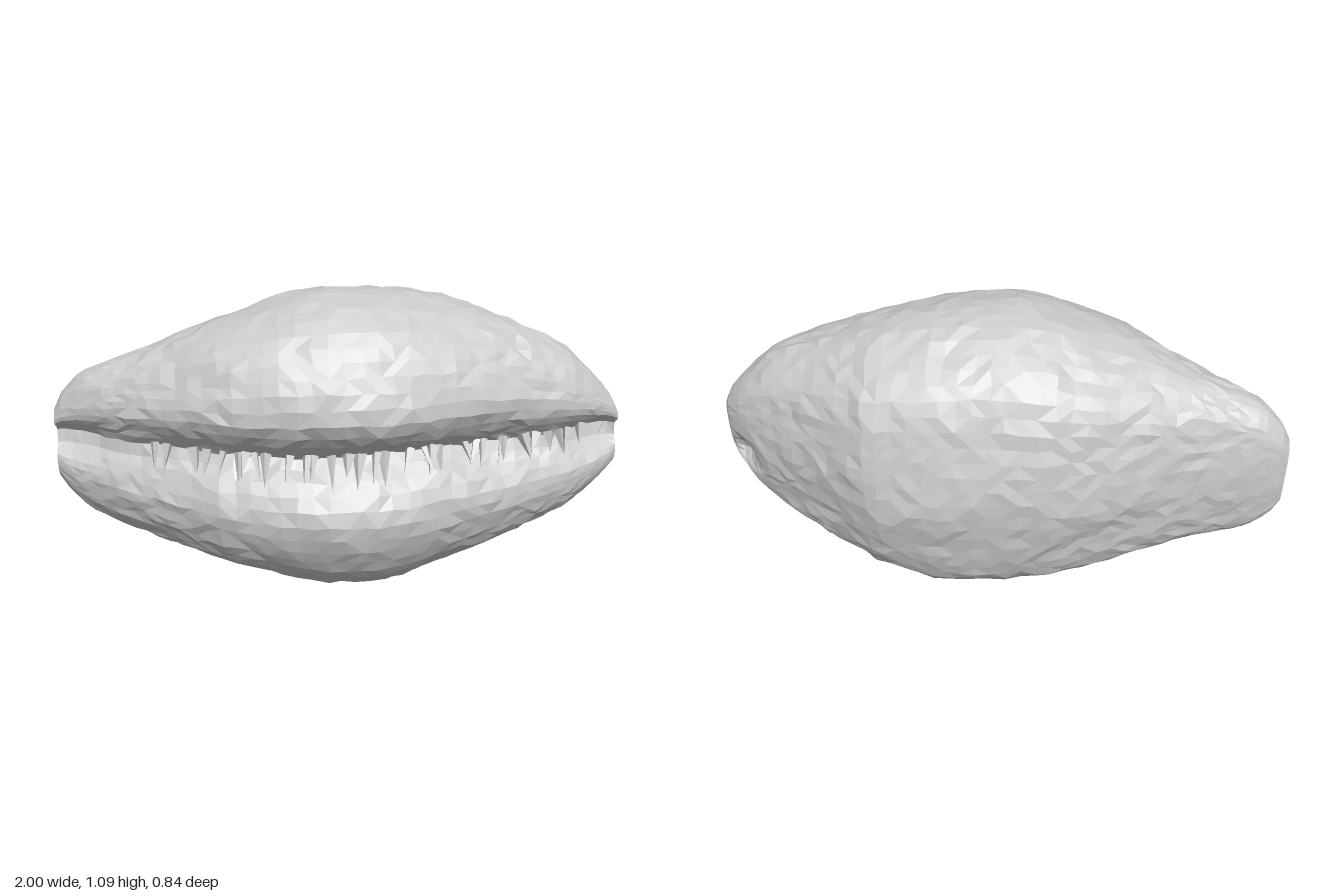
import * as THREE from 'three';

// Stations along the shell: x, top y, bottom y, back z, front z
const stations = [
  [-1.0, 0.66, 0.40, -0.095, 0.0], [-0.97, 0.72, 0.35, -0.115, 0.02], [-0.9, 0.79, 0.28, -0.135, 0.06],
  [-0.8, 0.83, 0.235, -0.155, 0.115], [-0.6, 0.91, 0.165, -0.22, 0.22], [-0.4, 0.99, 0.10, -0.31, 0.335],
  [-0.2, 1.055, 0.04, -0.38, 0.395], [-0.05, 1.08, 0.01, -0.4, 0.415], [0.1, 1.075, 0, -0.415, 0.405],
  [0.2, 1.07, 0.01, -0.42, 0.385], [0.4, 1.03, 0.07, -0.40, 0.315], [0.6, 0.95, 0.145, -0.29, 0.235],
  [0.8, 0.86, 0.245, -0.185, 0.175], [0.9, 0.77, 0.32, -0.13, 0.125], [0.97, 0.69, 0.39, -0.07, 0.085],
  [1.0, 0.63, 0.43, -0.01, 0.06],
];
// Widest cross-section as z, y: from the groove over the top, down the back and round to the groove
const profile = [
  [0.27, 0.568], [0.31, 0.6], [0.365, 0.645], [0.41, 0.72], [0.405, 0.79], [0.37, 0.87], [0.3, 0.97],
  [0.16, 1.055], [-0.05, 1.08], [-0.2, 1.015], [-0.32, 0.92], [-0.385, 0.75], [-0.42, 0.53], [-0.39, 0.36],
  [-0.34, 0.18], [-0.28, 0.1], [-0.1, 0.01], [0.05, 0], [0.18, 0.04], [0.32, 0.14], [0.39, 0.25],
  [0.42, 0.36], [0.405, 0.43], [0.36, 0.49], [0.3, 0.538], [0.27, 0.55],
];
const SLIT = 0.558;

let seed = 7;
const rand = () => ((seed = (seed * 16807) % 2147483647) / 2147483647);
const jitter = (a) => (rand() - 0.5) * 2 * a;

function stationAt(x) {
  let i = 0;
  while (i < stations.length - 2 && x > stations[i + 1][0]) i++;
  const a = stations[i], b = stations[i + 1], t = (x - a[0]) / (b[0] - a[0]);
  return a.map((v, k) => v + (b[k] - v) * t);
}

// Fits a point of the widest section into the section at x: lips stay thick, the groove deepens at the ends
function place(x, z, y) {
  const [, top, bottom, back, front] = stationAt(x);
  const up = y > SLIT;
  const full = up ? 1.08 - SLIT : SLIT;
  const room = up ? top - SLIT : SLIT - bottom;
  const d = room * Math.pow(Math.min(1, Math.abs(y - SLIT) / full), Math.sqrt(room / full));
  const notch = z > 0 ? Math.exp(-(((y - SLIT) / 0.06) ** 2)) * THREE.MathUtils.smoothstep(Math.abs(x), 0.72, 1) : 0;
  const depth = (z - 0.28 * notch) / 0.42;
  return new THREE.Vector3(x, SLIT + (up ? d : -d), (back + front) / 2 + depth * (front - back) / 2);
}

// Uneven skin, fading towards the narrow tips, and the small hollow behind the left tip
function roughen(v) {
  const size = Math.min(1, 0.15 + (1 - Math.abs(v.x)) * 2.5);
  const lump = 0.005 * Math.sin(9 * v.x + 5 * v.y) * Math.sin(11 * v.y - 6 * v.z + 2 * v.x);
  v.x += Math.abs(v.x) < 0.98 ? jitter(0.007 * size) : 0;
  v.y += (jitter(0.005) + lump) * size;
  v.z += (jitter(0.005) + lump) * size;
  if (v.z < 0) v.z += 0.07 * Math.exp(-(((v.x - 0.92) / 0.05) ** 2) - (((v.y - 0.46) / 0.06) ** 2));
  return v;
}

function shellGeometry() {
  const N = 60, M = 46;
  const curve = new THREE.CatmullRomCurve3(profile.map(([z, y]) => new THREE.Vector3(0, y, z)), true, 'centripetal');
  const loop = curve.getSpacedPoints(N).slice(0, N);
  const rings = [];
  for (let i = 0; i <= M; i++) {
    const t = (i / M) * 2 - 1;
    const x = 0.6 * t + 0.4 * Math.sin(t * Math.PI / 2);
    rings.push(loop.map((p) => roughen(place(x, p.z, p.y))));
  }
  // Hollow pits at both tips
  const pit = (ring, x, s) => {
    const c = ring.reduce((sum, v) => sum.add(v), new THREE.Vector3()).divideScalar(N);
    return ring.map((v) => new THREE.Vector3(x, c.y + (v.y - c.y) * s, c.z + (v.z - c.z) * s));
  };
  const first = rings[0], last = rings[M];
  rings.unshift(pit(first, -0.94, 0.02), pit(first, -0.97, 0.6));
  rings.push(pit(last, 0.97, 0.6), pit(last, 0.94, 0.02));

  const pos = [], index = [];
  rings.forEach((ring) => ring.forEach((v) => pos.push(v.x, v.y, v.z)));
  for (let i = 0; i < rings.length - 1; i++) {
    for (let j = 0; j < N; j++) {
      const a = i * N + j, b = i * N + (j + 1) % N, c = a + N, d = b + N;
      // Alternate the diagonals for an irregular faceted skin
      if (rand() < 0.5) index.push(a, c, b, b, c, d);
      else index.push(a, c, d, a, d, b);
    }
  }
  const g = new THREE.BufferGeometry();
  g.setAttribute('position', new THREE.Float32BufferAttribute(pos, 3));
  g.setIndex(index);
  g.computeVertexNormals();
  return g;
}

export function createModel() {
  const group = new THREE.Group();
  group.name = 'cowrieShell';
  const material = new THREE.MeshStandardMaterial({ color: 0xcccccc, flatShading: true });

  const shell = new THREE.Mesh(shellGeometry(), material);
  shell.name = 'shellBody';
  group.add(shell);

  // Ragged teeth hanging across the groove, from the upper lip onto the lower lip
  const teeth = new THREE.Group();
  teeth.name = 'teeth';
  const count = 32;
  for (let i = 0; i < count; i++) {
    const x = -0.62 + (1.5 * i) / (count - 1) + jitter(0.03);
    const root = place(x, 0.29, 0.585);
    const tip = place(x + jitter(0.03), 0.355 + jitter(0.012), 0.505 + jitter(0.025));
    const dir = tip.clone().sub(root);
    const tooth = new THREE.Mesh(new THREE.ConeGeometry(0.014 + rand() * 0.012, dir.length(), 4), material);
    tooth.name = 'tooth';
    tooth.position.copy(root).addScaledVector(dir, 0.5);
    tooth.quaternion.setFromUnitVectors(new THREE.Vector3(0, 1, 0), dir.normalize());
    teeth.add(tooth);
  }
  group.add(teeth);
  return group;
}
